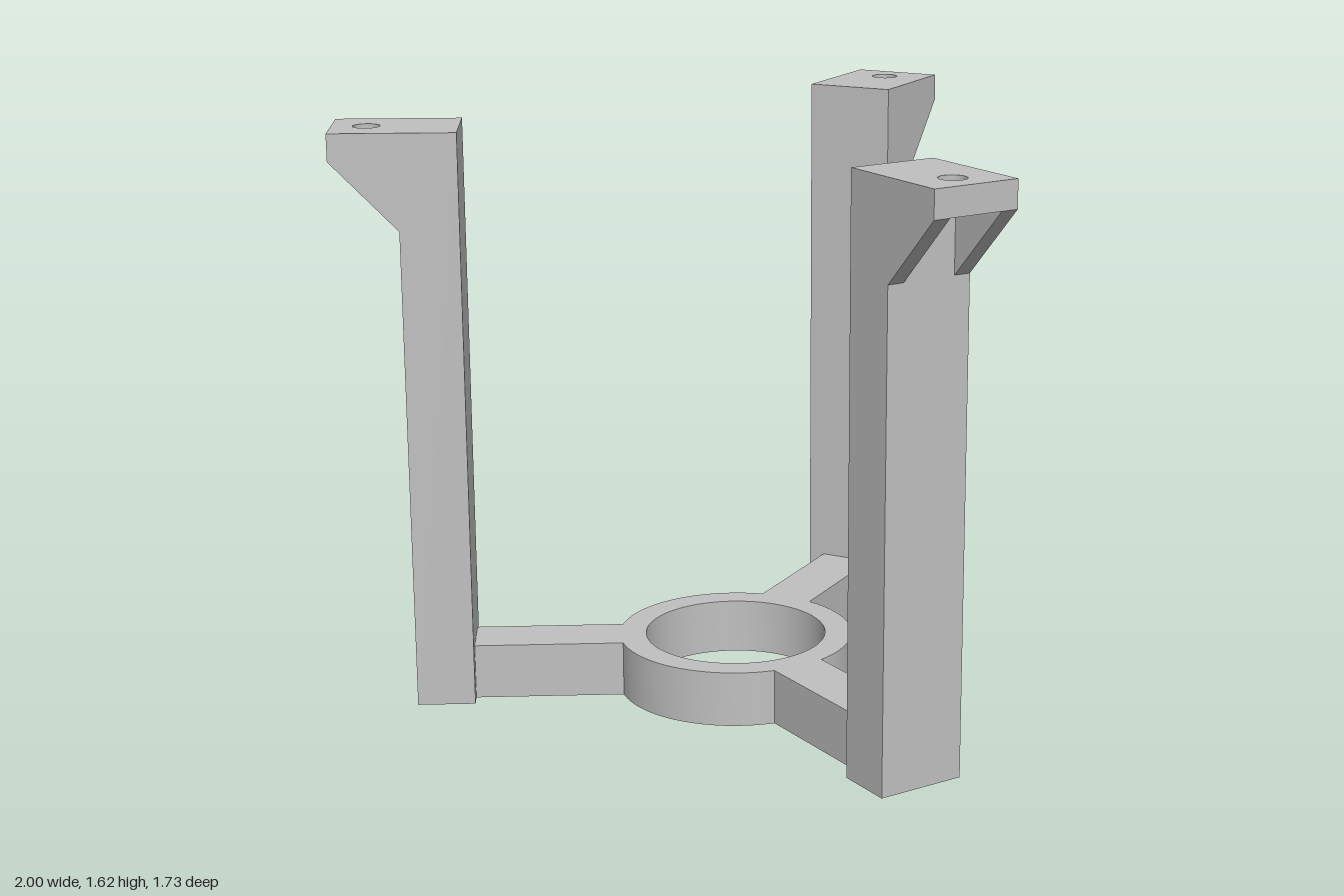
import * as THREE from 'three';
import { toCreasedNormals } from 'three/addons/utils/BufferGeometryUtils.js';

const metal = new THREE.MeshStandardMaterial({ color: 0xc0c0c0 });
metal.name = 'light grey';

const BASE_H = 0.155, TOP = 1.615, PLATE_Y = 1.54;
const POST_IN = 0.737, POST_OUT = 0.897, TIP = 1.08; // distances from the ring axis
const LEG_W = 0.25, ARM_W = 0.155, RIB_W = 0.048;

function part(name, geometry) {
  const mesh = new THREE.Mesh(geometry, metal);
  mesh.name = name;
  return mesh;
}

// Box given by its width and its y and z ranges
function block(name, width, y0, y1, z0, z1) {
  const geo = new THREE.BoxGeometry(width, y1 - y0, z1 - z0);
  geo.translate(0, (y0 + y1) / 2, (z0 + z1) / 2);
  return part(name, geo);
}

// Extrudes a plan outline upwards (shape y becomes -z)
function slab(shape, height, y) {
  const geo = new THREE.ExtrudeGeometry(shape, { depth: height, bevelEnabled: false, curveSegments: 48 });
  geo.rotateX(-Math.PI / 2).translate(0, y, 0);
  return toCreasedNormals(geo, 0.6);
}

function circleHole(x, y, r) {
  return new THREE.Path().absarc(x, y, r, 0, Math.PI * 2, true);
}

function createLeg() {
  const leg = new THREE.Group();
  leg.add(block('arm', ARM_W, 0, BASE_H, 0.3, POST_IN));
  leg.add(block('post', LEG_W, 0, PLATE_Y, POST_IN, POST_OUT));

  // Mounting plate with a screw hole
  const w = LEG_W / 2;
  const plate = new THREE.Shape([
    new THREE.Vector2(-w, -TIP), new THREE.Vector2(w, -TIP),
    new THREE.Vector2(w, -POST_IN), new THREE.Vector2(-w, -POST_IN),
  ]);
  plate.holes.push(circleHole(0, -0.985, 0.037));
  leg.add(part('mountingPlate', slab(plate, TOP - PLATE_Y, PLATE_Y)));

  // Triangular ribs under both edges of the plate
  const rib = new THREE.Shape([
    new THREE.Vector2(POST_OUT, 1.35), new THREE.Vector2(TIP, PLATE_Y),
    new THREE.Vector2(POST_OUT, PLATE_Y),
  ]);
  for (const [name, x] of [['leftRib', w], ['rightRib', -w + RIB_W]]) {
    const geo = new THREE.ExtrudeGeometry(rib, { depth: RIB_W, bevelEnabled: false });
    geo.rotateY(-Math.PI / 2).translate(x, 0, 0);
    leg.add(part(name, geo));
  }
  return leg;
}

export function createModel() {
  const model = new THREE.Group();
  model.name = 'threeLeggedBracket';
  const frame = new THREE.Group();
  frame.name = 'frame';
  frame.position.z = -0.217;
  model.add(frame);

  // Central ring
  const ring = new THREE.Shape().absarc(0, 0, 0.33, 0, Math.PI * 2, false);
  ring.holes.push(circleHole(0, 0, 0.255));
  frame.add(part('ring', slab(ring, BASE_H, 0)));

  // Three legs evenly spaced around the ring
  ['frontLeg', 'backLeftLeg', 'backRightLeg'].forEach((name, i) => {
    const leg = createLeg();
    leg.name = name;
    leg.rotation.y = (i * Math.PI * 2) / 3;
    frame.add(leg);
  });
  return model;
}
